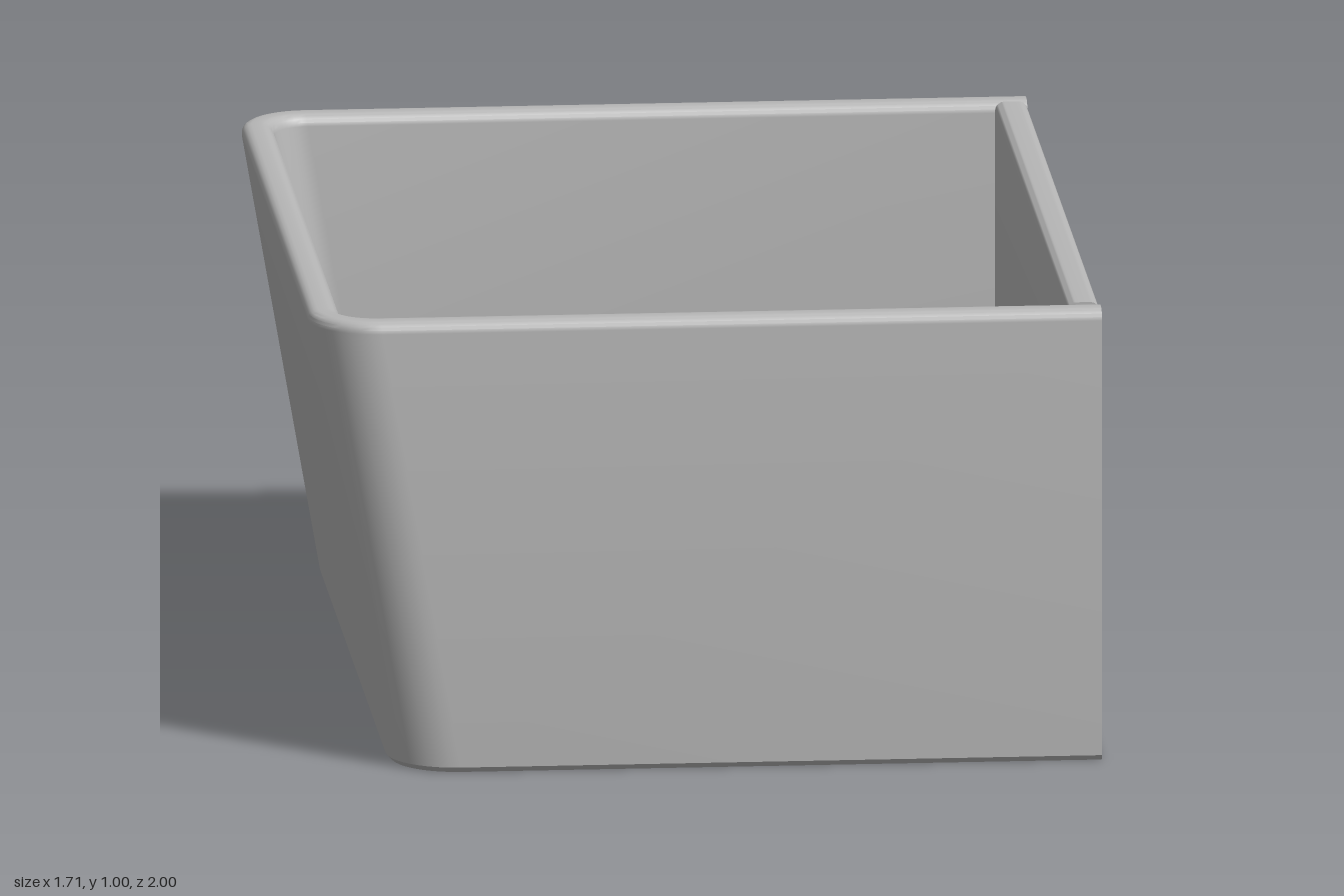
import * as THREE from 'three';
import { toCreasedNormals } from 'three/addons/utils/BufferGeometryUtils.js';

const RIGHT = 0.855, WALL = 0.07, FLOOR = 0.07, RIM = 0.025, CORNER = 0.15;
const leftAt = (y) => -0.68 - 0.175 * y; // leaning side

// U-shaped outline at height y, inset d from the outside
function outline(y, d) {
  const r = CORNER - d, cx = leftAt(y) + CORNER, cz = 1 - CORNER, steps = 10;
  const pts = [[RIGHT, 1 - d]];
  for (const side of [0, 1]) {
    for (let i = 0; i <= steps; i++) {
      const a = Math.PI / 2 * (1 + side + i / steps);
      pts.push([cx + r * Math.cos(a), (side ? -cz : cz) + r * Math.sin(a)]);
    }
  }
  pts.push([RIGHT, d - 1]);
  return pts;
}

// wall section as [inset, height], from the bottom edge over the rim to the floor
function wallSection() {
  const s = [[0.01, 0], [0, 0.012]];
  for (let i = 0; i <= 5; i++) {
    const a = i / 5 * Math.PI / 2;
    s.push([RIM * (1 - Math.cos(a)), 1 - RIM + RIM * Math.sin(a)]);
  }
  for (let i = 0; i <= 5; i++) {
    const a = i / 5 * Math.PI / 2;
    s.push([WALL - RIM + RIM * Math.sin(a), 1 - RIM + RIM * Math.cos(a)]);
  }
  s.push([WALL, FLOOR]);
  return s;
}

// sweep the wall section around the outline
function shellGeometry(section) {
  const pos = [], idx = [];
  const rings = section.map(([d, y]) => outline(y, d).map(([x, z]) => [x, y, z]));
  const n = rings[0].length;
  rings.forEach((ring) => ring.forEach((p) => pos.push(...p)));
  for (let j = 0; j < rings.length - 1; j++) {
    for (let i = 0; i < n - 1; i++) {
      const a = j * n + i, b = a + 1, c = a + n, d = c + 1;
      idx.push(a, c, b, b, c, d);
    }
  }
  const g = new THREE.BufferGeometry();
  g.setAttribute('position', new THREE.Float32BufferAttribute(pos, 3));
  g.setIndex(idx);
  return toCreasedNormals(g, 0.5);
}

const flat = (pts) => new THREE.ShapeGeometry(
  new THREE.Shape(pts.map(([x, y]) => new THREE.Vector2(x, y))));

export function createModel() {
  const group = new THREE.Group();
  const grey = new THREE.MeshStandardMaterial({ color: 0xb6b6b6 });
  grey.name = 'grey';
  const add = (name, geometry) => {
    const mesh = new THREE.Mesh(geometry, grey);
    mesh.name = name;
    group.add(mesh);
    return mesh;
  };

  // three connected walls with a rounded rim
  const section = wallSection();
  add('walls', shellGeometry(section));

  // floor, inside and underneath
  add('floor', flat(outline(FLOOR, WALL)).rotateX(-Math.PI / 2)).position.y = FLOOR;
  add('underside', flat(outline(0, 0.01)).rotateX(Math.PI / 2));

  // ends of the two side walls
  for (const s of [1, -1]) {
    const pts = [...section, [WALL, 0]].map(([d, y]) => [s * (1 - d), y]);
    add('wallEnd', flat(pts).rotateY(Math.PI / 2)).position.x = RIGHT;
  }

  // upright wall between the ends, with its own rounded top
  const inner = RIGHT - WALL, r = 0.02;
  const shape = new THREE.Shape();
  shape.moveTo(inner, 0);
  shape.lineTo(RIGHT, 0);
  shape.lineTo(RIGHT, 1 - r);
  shape.absarc(RIGHT - r, 1 - r, r, 0, Math.PI / 2, false);
  shape.lineTo(inner + r, 1);
  shape.absarc(inner + r, 1 - r, r, Math.PI / 2, Math.PI, false);
  shape.lineTo(inner, 0);
  const length = 2 * (1 - WALL);
  const upright = new THREE.ExtrudeGeometry(shape, { depth: length, bevelEnabled: false, curveSegments: 5 });
  upright.translate(0, 0, -length / 2);
  add('uprightWall', toCreasedNormals(upright, 0.5));

  return group;
}
